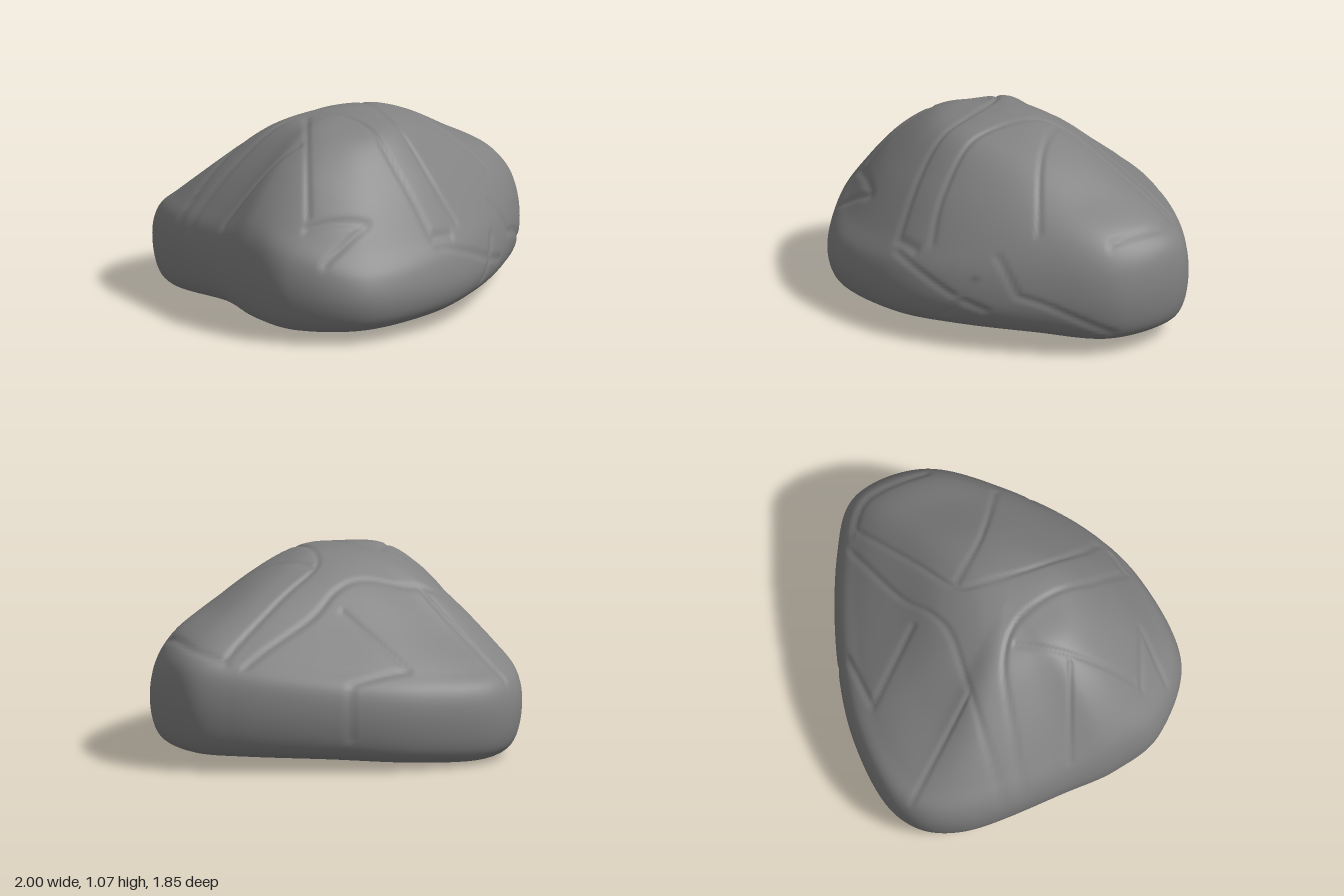
import * as THREE from 'three';

// Outline directions: x, z, underside height, widest height, then heights at
// 0.97, 0.87, 0.65 and 0.4 of the distance from the centre to the outline
const SPOKES = [
  [-0.12, 0.92, 0.055, 0.24, 0.37, 0.5, 0.78, 1.0],
  [-0.51, 0.79, 0.045, 0.26, 0.46, 0.6, 0.85, 1.02],
  [-0.7, 0.555, 0.06, 0.28, 0.52, 0.68, 0.89, 1.03],
  [-0.82, 0.28, 0.09, 0.29, 0.48, 0.62, 0.84, 1.01],
  [-1.0, -0.32, 0.03, 0.29, 0.45, 0.57, 0.78, 0.97],
  [-0.88, -0.67, 0.005, 0.28, 0.43, 0.52, 0.69, 0.9],
  [-0.45, -0.87, 0.03, 0.28, 0.44, 0.54, 0.72, 0.92],
  [0.05, -0.925, 0.06, 0.28, 0.47, 0.57, 0.75, 0.95],
  [0.57, -0.885, 0.07, 0.3, 0.52, 0.63, 0.8, 0.965],
  [0.86, -0.77, 0.07, 0.34, 0.57, 0.68, 0.82, 0.965],
  [1.0, -0.4, 0.07, 0.3, 0.52, 0.67, 0.81, 0.965],
  [0.88, 0.02, 0.1, 0.27, 0.47, 0.64, 0.83, 0.985],
  [0.64, 0.45, 0.1, 0.25, 0.42, 0.57, 0.81, 1.0],
  [0.33, 0.74, 0.075, 0.24, 0.39, 0.53, 0.8, 1.01],
];
const TOP = 1.07, FLOOR = 0.07;

// Cracks drawn on a plane and pressed into the surface that faces it
const CRACKS = [
  { // upper surface, in x and z
    plane: p => [p.x, p.z], facing: n => n.y, paths: [
      [[-0.95, 0.02], [-0.6, -0.03], [-0.35, -0.05], [-0.15, 0.02], [0, 0.2], [0.12, 0.44], [0.3, 0.65]],
      [[0.3, 0.65], [0.42, 0.58]],
      [[-0.93, -0.1], [-0.45, -0.24], [-0.15, -0.32], [0, -0.42], [0.15, -0.58], [0.5, -0.82]],
      [[-0.9, -0.58], [-0.45, -0.24]],
      [[0.6, -0.78], [0.3, -0.48], [0.12, -0.3], [0.1, -0.15], [0.2, 0.2], [0.35, 0.42], [0.46, 0.5]],
      [[0.12, -0.28], [0.4, -0.12], [0.75, -0.02]],
      [[0.6, -0.8], [0.78, -0.7], [0.9, -0.38]],
      [[-0.76, 0.28], [-0.35, 0.31]],
      [[-0.25, 0.02], [-0.32, 0.35], [-0.38, 0.65]],
      [[-0.4, 0.69], [-0.06, 0.71]],
      [[-0.06, 0.71], [-0.33, 0.83]],
      [[-0.06, -0.88], [-0.38, -0.76]],
      [[-0.38, -0.76], [-0.03, -0.52]],
    ],
  },
  { // left side, in z and y
    plane: p => [p.z, p.y], facing: n => n.x, paths: [
      [[0.66, 0.46], [0.45, 0.33], [0.28, 0.26]],
      [[0.46, 0.2], [0.4, 0.32], [0.33, 0.42]],
      [[0.2, 0.55], [0.12, 0.36]],
      [[0.12, 0.36], [-0.05, 0.31], [-0.38, 0.15]],
    ],
  },
  { // back, in x and y
    plane: p => [p.x, p.y], facing: n => -n.z, paths: [[[-0.06, 0.46], [-0.06, 0.2]]],
  },
];
for (const set of CRACKS) {
  set.paths = set.paths.map(path =>
    new THREE.SplineCurve(path.map(q => new THREE.Vector2(...q))).getPoints((path.length - 1) * 4));
}

// Distance from a point on the plane to the nearest crack
function crackDistance([u, v], paths) {
  let best = 1;
  for (const path of paths) {
    for (let i = 1; i < path.length; i++) {
      const a = path[i - 1], dx = path[i].x - a.x, dy = path[i].y - a.y;
      const t = THREE.MathUtils.clamp(((u - a.x) * dx + (v - a.y) * dy) / (dx * dx + dy * dy), 0, 1);
      best = Math.min(best, Math.hypot(u - a.x - t * dx, v - a.y - t * dy));
    }
  }
  return best;
}

function boulderGeometry(around = 300, rings = 140) {
  // Closed cross-sections from the underside up to the crown
  const levels = [
    [0.001, () => FLOOR],
    [0.45, s => FLOOR * 0.6 + s[2] * 0.4],
    [0.83, s => s[2]],
    [0.95, s => s[2] + 0.055],
    [1, s => s[3]],
    [0.97, s => s[4]],
    [0.87, s => s[5]],
    [0.65, s => s[6]],
    [0.4, s => s[7]],
    [0.2, s => TOP - (TOP - s[7]) * 0.22],
    [0.07, () => TOP - 0.003],
    [0.001, () => TOP],
  ].map(([f, height]) => new THREE.CatmullRomCurve3(
    SPOKES.map(s => new THREE.Vector3(s[0] * f, height(s), s[1] * f)), true, 'catmullrom', 0.5));

  // Skin the cross-sections with smooth profiles
  const positions = [], index = [];
  for (let i = 0; i < around; i++) {
    const profile = new THREE.CatmullRomCurve3(levels.map(c => c.getPoint(i / around)), false, 'centripetal');
    profile.arcLengthDivisions = 300;
    for (let j = 0; j <= rings; j++) {
      const p = profile.getPointAt(j / rings);
      positions.push(p.x, p.y, p.z);
      if (j === rings) continue;
      const a = i * (rings + 1) + j, b = ((i + 1) % around) * (rings + 1) + j;
      index.push(a, a + 1, b, b, a + 1, b + 1);
    }
  }
  const geometry = new THREE.BufferGeometry();
  geometry.setAttribute('position', new THREE.Float32BufferAttribute(positions, 3));
  geometry.setIndex(index);
  geometry.computeVertexNormals();

  // Press the cracks in along the surface normal
  const pos = geometry.attributes.position, nor = geometry.attributes.normal;
  const p = new THREE.Vector3(), n = new THREE.Vector3();
  for (let i = 0; i < pos.count; i++) {
    p.fromBufferAttribute(pos, i);
    n.fromBufferAttribute(nor, i);
    let depth = 0;
    for (const { plane, facing, paths } of CRACKS) {
      const fade = THREE.MathUtils.smoothstep(facing(n), 0.1, 0.45);
      if (fade === 0) continue;
      const d = crackDistance(plane(p), paths) / 0.015;
      depth = Math.max(depth, 0.009 * fade * Math.exp(-d * d));
    }
    p.addScaledVector(n, -depth);
    pos.setXYZ(i, p.x, p.y, p.z);
  }
  geometry.computeVertexNormals();
  return geometry;
}

export function createModel() {
  const group = new THREE.Group();
  group.name = 'rock';
  const boulder = new THREE.Mesh(boulderGeometry(), new THREE.MeshStandardMaterial({ color: 0x828282 }));
  boulder.name = 'boulder';
  group.add(boulder);
  return group;
}
